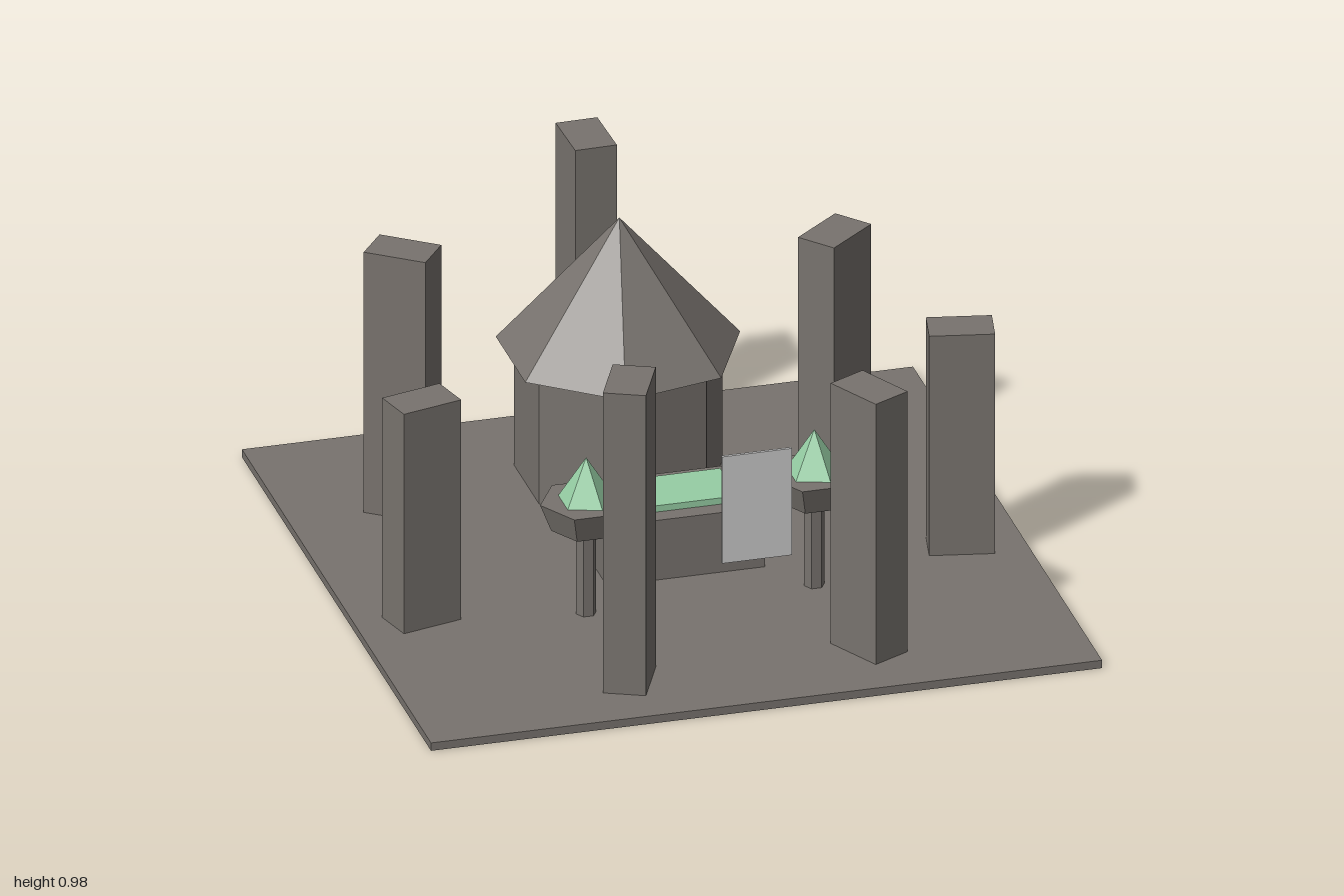
import * as THREE from 'three';

export function createModel() {
  const model = new THREE.Group();
  model.name = 'stoneCircleShrine';

  const mat = (name, color) => {
    const m = new THREE.MeshStandardMaterial({ color, flatShading: true });
    m.name = name;
    return m;
  };
  const stone = mat('stone grey', 0x78736e);
  const green = mat('pale green', 0x96cea4);
  const pale = mat('light grey', 0xcacaca);

  const GROUND = 0.025;

  // Adds a mesh whose underside rests at height y
  const add = (name, geometry, material, x, y, z, parent = model) => {
    geometry.computeBoundingBox();
    const mesh = new THREE.Mesh(geometry, material);
    mesh.name = name;
    mesh.position.set(x, y - geometry.boundingBox.min.y, z);
    parent.add(mesh);
    return mesh;
  };
  // Faceted prism or cone with its first corner on +x
  const prism = (top, bottom, height, sides) =>
    new THREE.CylinderGeometry(top, bottom, height, sides).rotateY(Math.PI / 2);

  add('groundSlab', new THREE.BoxGeometry(2, GROUND, 2), stone, 0, 0, 0);

  // Ring of seven standing stones, long side pointing to the centre
  const tops = [0.982, 0.725, 0.725, 0.855, 0.982, 0.725, 0.855];
  tops.forEach((top, i) => {
    const a = THREE.MathUtils.degToRad(-91.5) + (i * Math.PI * 2) / tops.length;
    const slab = add('standingStone', new THREE.BoxGeometry(0.19, top - GROUND, 0.125), stone,
      Math.cos(a) * 0.83, GROUND, Math.sin(a) * 0.83);
    slab.rotation.y = -a;
  });

  // Seven-sided hut
  const hut = new THREE.Group();
  hut.name = 'hut';
  hut.position.set(0, 0, -0.557);
  model.add(hut);
  add('hutWall', prism(0.307, 0.307, 0.43 - GROUND, 7), stone, 0, GROUND, 0, hut);
  add('hutRoof', new THREE.ConeGeometry(0.36, 0.41, 7).rotateY(Math.PI / 2), stone, 0, 0.43, 0, hut);

  // Altar with green top
  add('altar', new THREE.BoxGeometry(0.47, 0.19, 0.295), stone, 0, GROUND, 0);
  add('altarTop', new THREE.BoxGeometry(0.34, 0.02, 0.188), green, 0, 0.215, 0);

  // Pair of braziers
  for (const side of [-1, 1]) {
    const brazier = new THREE.Group();
    brazier.name = side > 0 ? 'leftBrazier' : 'rightBrazier';
    brazier.position.set(side * 0.34, 0, 0.298);
    model.add(brazier);
    add('stem', prism(0.03, 0.03, 0.3 - GROUND, 6), stone, 0, GROUND, 0, brazier);
    add('bowl', prism(0.137, 0.104, 0.085, 6), stone, 0, 0.3, 0, brazier);
    add('flame', new THREE.ConeGeometry(0.085, 0.135, 5).rotateY(Math.PI / 2), green, 0, 0.385, 0, brazier);
  }

  // Floating panel at the front
  add('floatingPanel', new THREE.BoxGeometry(0.208, 0.34, 0.009), pale, 0, 0.432, 0.895);

  return model;
}
